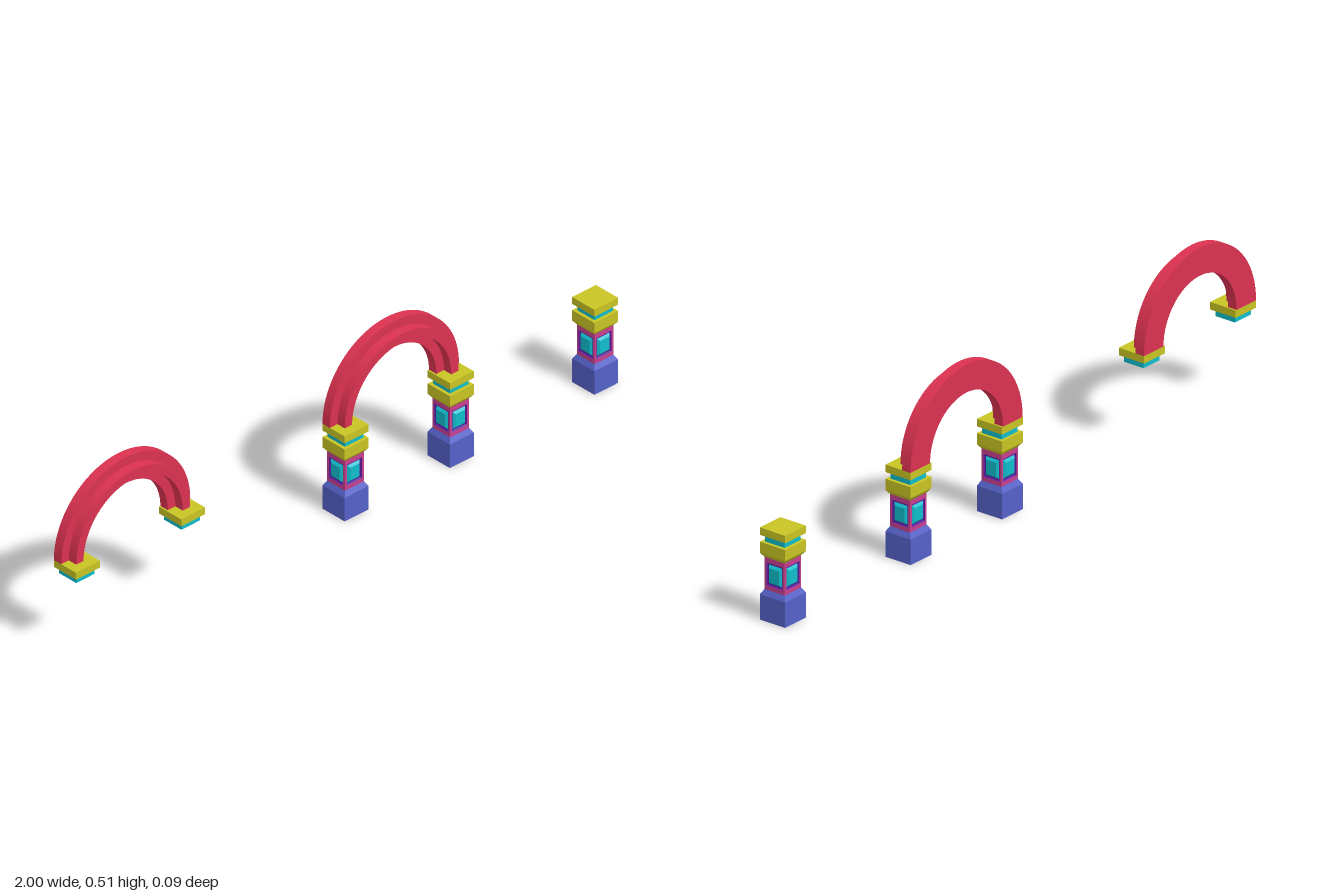
import * as THREE from 'three';
import { toCreasedNormals } from 'three/addons/utils/BufferGeometryUtils.js';

const mat = (color, flatShading = true) => new THREE.MeshStandardMaterial({ color, flatShading });
const RED = mat(0xdc3250, false), BLUE = mat(0x5561c8), PINK = mat(0xc8408f), PURPLE = mat(0x5a1aa0);
const CYAN = mat(0x10bccb), YELLOW = mat(0xc8c424), GREY = mat(0xcccccc);

const part = (name, geometry, material) => {
  const mesh = new THREE.Mesh(geometry, material);
  mesh.name = name;
  return mesh;
};

// Square-section solid from [half width, height] pairs, listed upwards
const square = (...profile) => new THREE.LatheGeometry(
  profile.map(([h, y]) => new THREE.Vector2(h * Math.SQRT2, y)), 4, Math.PI / 4);

// Square profile turned to face +z and stretched into a tall panel
const panel = (...profile) => square(...profile).rotateX(Math.PI / 2).scale(1, 1.2, 1);

const HALF = 0.044, SHAFT = 0.035, MID = 0.1365;

// Neck and top slab that carry an arch
function createCapital() {
  const g = new THREE.Group();
  g.name = 'capital';
  g.add(part('neck', square([0, 0.23], [0.034, 0.23], [0.034, 0.25]), CYAN));
  g.add(part('topSlab', square([0, 0.25], [HALF, 0.25], [HALF, 0.272], [0, 0.272]), YELLOW));
  return g;
}

// One shaft side: rectangular frame, sunken border and raised bevelled inlay
function createShaftSide() {
  const g = new THREE.Group();
  g.name = 'shaftSide';
  const rect = (path, w, bottom, top) => path.moveTo(-w, bottom).lineTo(w, bottom)
    .lineTo(w, top).lineTo(-w, top).closePath();
  const frame = rect(new THREE.Shape(), SHAFT, 0.09, 0.185);
  frame.holes.push(rect(new THREE.Path(), 0.028, MID - 0.0336, MID + 0.0336));
  g.add(part('frame', new THREE.ShapeGeometry(frame).translate(0, 0, SHAFT), PINK));
  g.add(part('sunkenBorder',
    panel([0.028, SHAFT], [0.026, 0.031], [0.02, 0.031]).translate(0, MID, 0), PURPLE));
  g.add(part('inlay',
    panel([0.023, 0.031], [0.017, 0.0375], [0, 0.0375]).translate(0, MID, 0), CYAN));
  return g;
}

function createPillar() {
  const g = new THREE.Group();
  g.name = 'pillar';
  g.add(part('base', square([HALF, 0], [HALF, 0.075], [SHAFT, 0.09], [0, 0.09]), BLUE));
  g.add(part('baseUnderside', square([0, 0], [HALF, 0]), GREY));
  for (let i = 0; i < 4; i++) {
    const side = createShaftSide();
    side.rotation.y = i * Math.PI / 2;
    g.add(side);
  }
  g.add(part('lowerSlab',
    square([0, 0.185], [SHAFT, 0.185], [HALF, 0.197], [HALF, 0.23], [0, 0.23]), YELLOW));
  g.add(createCapital());
  return g;
}

// Half-round arch with a proud middle band on its front
function createArch() {
  const profile = [[0.155, 0.0145], [0.183, 0.0145], [0.183, -0.0145], [0.21, -0.0145], [0.21, 0.0145],
    [0.238, 0.0145], [0.238, 0.0437], [0.155, 0.0437], [0.155, 0.0145]];
  const geometry = new THREE.LatheGeometry(
    profile.map(([r, y]) => new THREE.Vector2(r, y)), 48, -Math.PI / 2, Math.PI);
  geometry.rotateX(-Math.PI / 2).translate(0, 0.272, 0);
  return part('arch', toCreasedNormals(geometry, 0.5), RED);
}

// An arch with a support under each foot
function createBay(name, x, createSupport) {
  const g = new THREE.Group();
  g.name = name;
  g.add(createArch());
  for (const side of [-1, 1]) {
    const support = createSupport();
    support.position.x = side * 0.194;
    g.add(support);
  }
  g.position.x = x;
  return g;
}

export function createModel() {
  const model = new THREE.Group();
  model.name = 'arcadeParts';
  model.add(createBay('archOnCapitals', -0.762, createCapital));
  model.add(createBay('archOnPillars', 0.229, createPillar));
  const single = createPillar();
  single.name = 'singlePillar';
  single.position.x = 0.956;
  model.add(single);
  return model;
}
